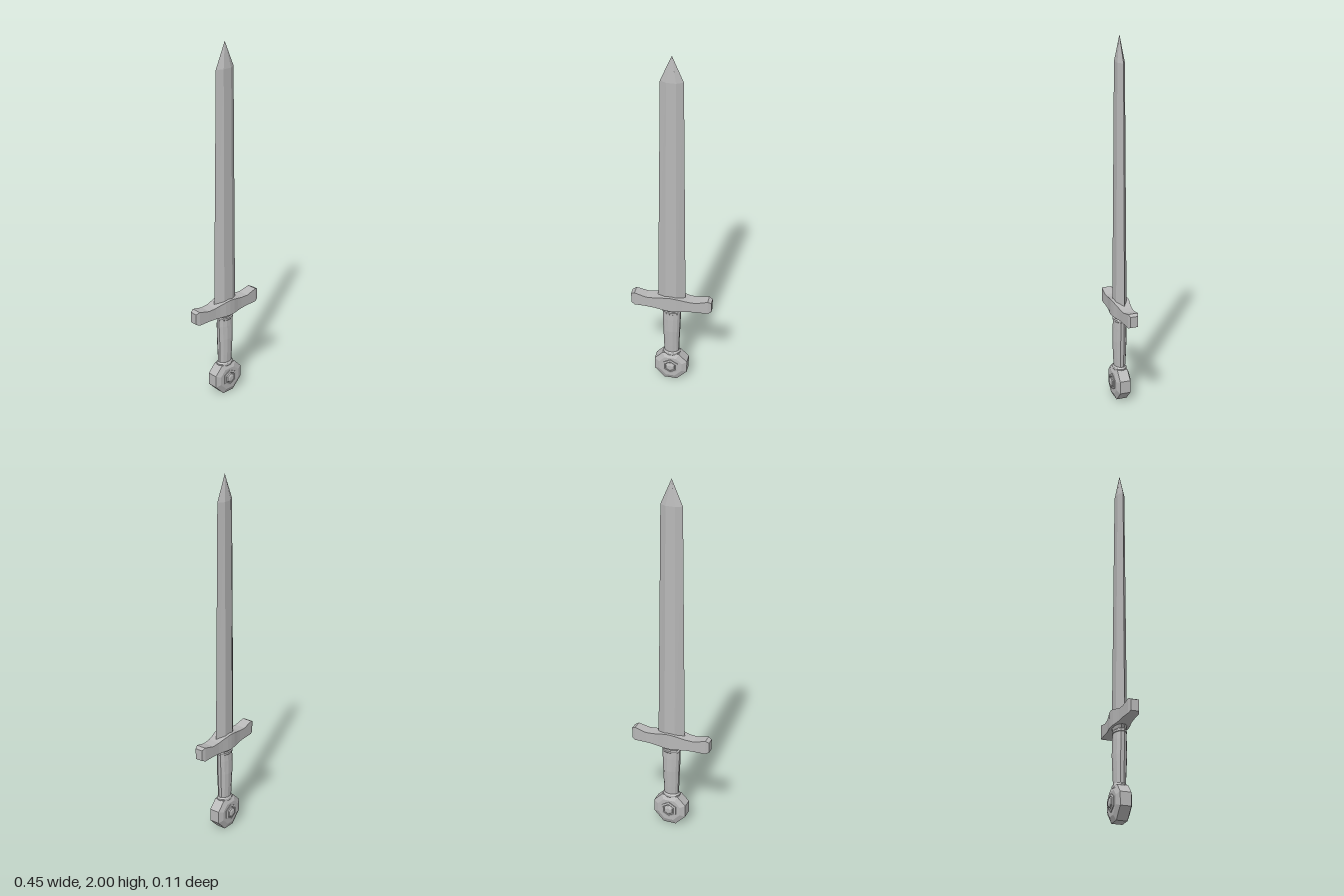
import * as THREE from 'three';

const steel = new THREE.MeshStandardMaterial({ color: 0xb8b8b8 });
steel.name = 'steel grey';
steel.flatShading = true;

// Skin a list of equal-length rings, wound counter-clockwise as seen from the last ring, and cap both ends.
function loft(name, rings) {
  const n = rings[0].length;
  const pos = rings.flat(2);
  const index = [];
  for (let r = 0; r < rings.length - 1; r++) {
    for (let i = 0; i < n; i++) {
      const j = (i + 1) % n;
      const a = r * n + i, b = r * n + j;
      index.push(a, b, b + n, a, b + n, a + n);
    }
  }
  const last = (rings.length - 1) * n;
  for (let i = 1; i < n - 1; i++) {
    index.push(0, i + 1, i);
    index.push(last, last + i, last + i + 1);
  }
  const geo = new THREE.BufferGeometry();
  geo.setAttribute('position', new THREE.Float32BufferAttribute(pos, 3));
  geo.setIndex(index);
  const flat = geo.toNonIndexed();
  flat.computeVertexNormals();
  const mesh = new THREE.Mesh(flat, steel);
  mesh.name = name;
  return mesh;
}

// Horizontal elliptical ring with flat front and sides
function ellipse(y, rx, rz, sides = 12) {
  return Array.from({ length: sides }, (_, i) => {
    const a = ((i + 0.5) / sides) * Math.PI * 2;
    return [rx * Math.cos(a), y, -rz * Math.sin(a)];
  });
}

// Blade section: sharp edges and a flat (slightly split) face
function bladeRing(y, w, f, d, ridgeY = y) {
  return [
    [w, y, 0], [f, y, -d], [0, ridgeY, -d], [-f, y, -d],
    [-w, y, 0], [-f, y, d], [0, ridgeY, d], [f, y, d],
  ];
}

// Crossguard section: a rectangle across x
function guardRing(x, lo, hi, d) {
  return [[x, lo, d], [x, lo, -d], [x, hi, -d], [x, hi, d]];
}

export function createModel() {
  const sword = new THREE.Group();
  sword.name = 'sword';

  // Tapering blade with a pointed tip
  sword.add(loft('blade', [
    bladeRing(0.54, 0.077, 0.03, 0.03),
    bladeRing(1.865, 0.06, 0.025, 0.02),
    bladeRing(2, 0.0005, 0.0003, 0.0003),
  ]));

  // Crossguard, swelling at the middle and chamfered at the ends
  const half = [
    [0.03, 0.492, 0.577, 0.045],
    [0.065, 0.493, 0.568, 0.038],
    [0.095, 0.495, 0.561, 0.034],
    [0.14, 0.497, 0.558, 0.032],
    [0.205, 0.495, 0.574, 0.028],
    [0.225, 0.504, 0.564, 0.021],
  ];
  sword.add(loft('crossguard', [
    ...[...half].reverse().map(([x, ...s]) => guardRing(-x, ...s)),
    guardRing(0, 0.491, 0.581, 0.047),
    ...half.map(([x, ...s]) => guardRing(x, ...s)),
  ]));

  // Stepped collar under the guard
  sword.add(loft('collar', [
    ellipse(0.455, 0.048, 0.032),
    ellipse(0.46, 0.053, 0.036),
    ellipse(0.47, 0.053, 0.036),
    ellipse(0.475, 0.05, 0.031),
    ellipse(0.483, 0.056, 0.033),
    ellipse(0.5, 0.068, 0.036),
  ]));

  // Grip
  sword.add(loft('grip', [
    ellipse(0.17, 0.042, 0.03),
    ellipse(0.24, 0.044, 0.034),
    ellipse(0.34, 0.048, 0.038),
    ellipse(0.42, 0.051, 0.036),
    ellipse(0.465, 0.051, 0.033),
  ]));

  // Ring between grip and pommel
  sword.add(loft('gripRing', [
    ellipse(0.165, 0.045, 0.032),
    ellipse(0.174, 0.051, 0.037),
    ellipse(0.183, 0.051, 0.037),
    ellipse(0.192, 0.043, 0.031),
  ]));

  // Octagonal pommel with bevelled faces
  const cy = 0.095;
  const outline = [
    [0.093, -0.035], [0.093, 0.035], [0.047, 0.083], [-0.047, 0.083],
    [-0.093, 0.035], [-0.093, -0.035], [-0.036, -0.095], [0.036, -0.095],
  ];
  const pommelRing = (z, s) => outline.map(([x, y]) => [x * s, cy + y * s, z]);
  sword.add(loft('pommel', [
    pommelRing(-0.042, 0.7), pommelRing(-0.029, 1),
    pommelRing(0.029, 1), pommelRing(0.042, 0.7),
  ]));

  // Faceted hexagonal stud on each side of the pommel
  const hexagon = (z, r) => Array.from({ length: 6 }, (_, i) => {
    const a = Math.PI / 6 + (i * Math.PI) / 3;
    return [r * Math.cos(a), cy + r * Math.sin(a), z];
  });
  for (const [name, turn] of [['frontStud', 0], ['backStud', Math.PI]]) {
    const stud = loft(name, [
      hexagon(0.035, 0.048), hexagon(0.046, 0.048), hexagon(0.049, 0.036),
      hexagon(0.045, 0.031), hexagon(0.052, 0.027), hexagon(0.057, 0.015),
    ]);
    stud.rotation.y = turn;
    sword.add(stud);
  }

  return sword;
}
